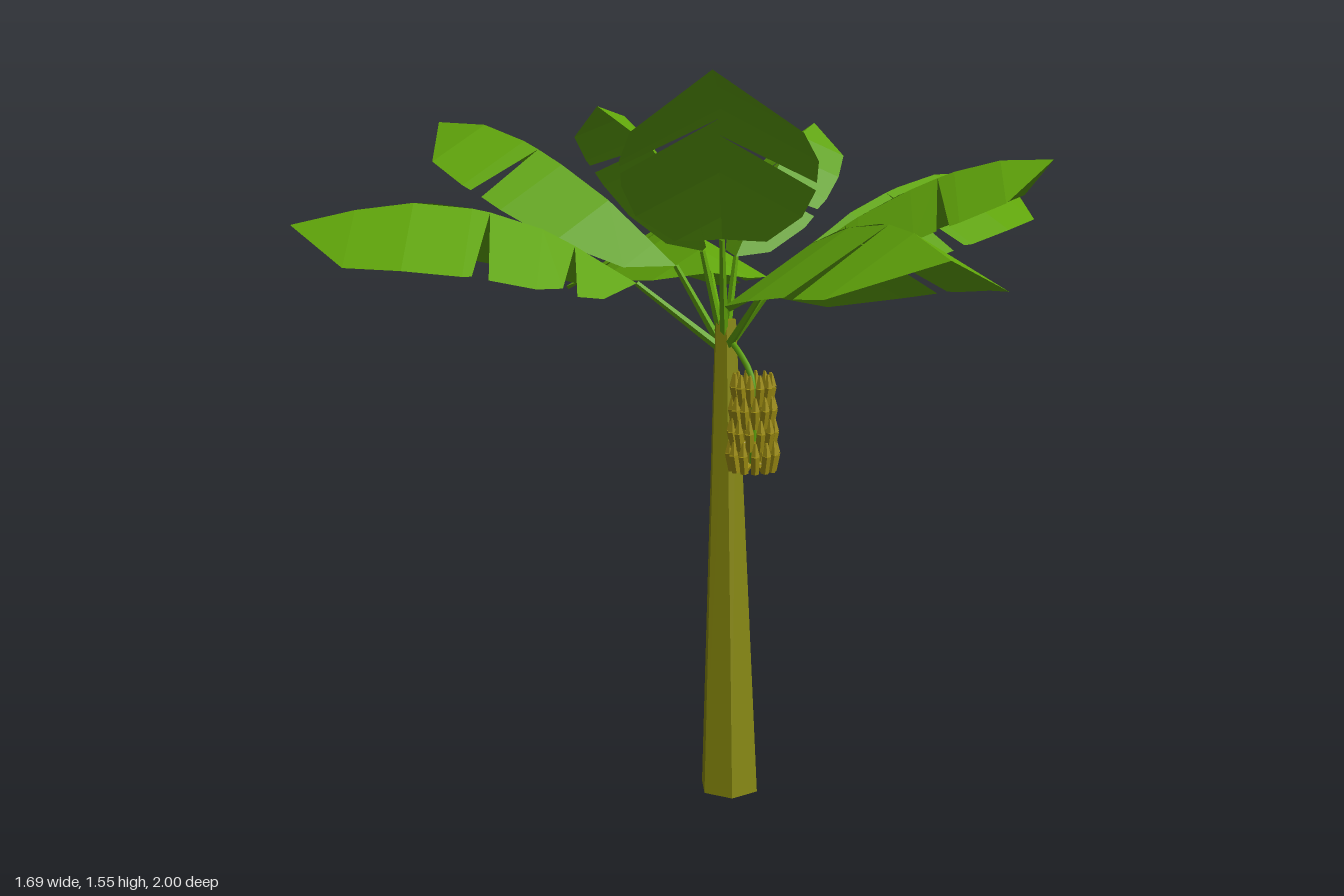
import * as THREE from 'three';

const V = (a) => new THREE.Vector3(...a);
const UP = new THREE.Vector3(0, 1, 0);

// Half-blade outline: [position along rib, share of full half width]
const OUTLINE = [[0, 0], [0.1, 0.5], [0.3, 0.88], [0.5, 1], [0.66, 1], [0.82, 0.85], [1, 0]];

// points along the rib, half width, torn slits on the right and on the left
const LEAVES = [
  [[[0.06, 1.1, -0.16], [0.03, 1.175, -0.3], [-0.02, 1.165, -0.68], [-0.08, 1.06, -1.0]], 0.23, [0.3, 0.67], [0.47]],
  [[[0.2, 1.11, -0.05], [0.4, 1.24, -0.21], [0.66, 1.31, -0.43], [0.84, 1.27, -0.57]], 0.205, [0.45], [0.32]],
  [[[-0.03, 1.13, -0.01], [-0.2, 1.29, -0.14], [-0.42, 1.42, -0.32], [-0.55, 1.43, -0.42]], 0.17, [0.5], [0.6]],
  [[[-0.12, 1.1, 0.06], [-0.35, 1.23, 0.07], [-0.6, 1.275, 0.07], [-0.85, 1.23, 0.07]], 0.21, [0.6], [0.2, 0.45]],
  [[[0.02, 1.17, 0.08], [-0.04, 1.31, 0.12], [-0.14, 1.45, 0.2], [-0.21, 1.48, 0.26]], 0.125, [0.6], [0.4]],
  [[[0.1, 1.15, 0.0], [0.17, 1.28, -0.09], [0.25, 1.39, -0.2], [0.31, 1.43, -0.29]], 0.112, [0.4], [0.6]],
  [[[0.2, 1.13, 0.07], [0.38, 1.26, 0.11], [0.6, 1.36, 0.2], [0.73, 1.37, 0.27]], 0.17, [0.25, 0.6], [0.46]],
  [[[0.13, 1.09, 0.22], [0.21, 1.22, 0.45], [0.31, 1.275, 0.78], [0.37, 1.23, 1.0]], 0.22, [0.7], [0.45]],
  [[[0.055, 1.2, 0.15], [0.035, 1.35, 0.3], [0.01, 1.5, 0.55], [-0.02, 1.555, 0.73]], 0.19, [0.6], [0.5]],
];

function widthAt(t) {
  const i = Math.max(1, OUTLINE.findIndex((p) => p[0] >= t));
  const [a, b] = [OUTLINE[i - 1], OUTLINE[i]];
  return THREE.MathUtils.lerp(a[1], b[1], (t - a[0]) / (b[0] - a[0]));
}

// Roof-shaped blade: each half is a strip from rib to drooping edge, open at the slits
function bladeGeometry(ribPoints, halfWidth, rightSlits, leftSlits) {
  const rib = new THREE.CatmullRomCurve3(ribPoints.map(V));
  const along = rib.getPoint(1).sub(rib.getPoint(0)).normalize();
  const side = along.clone().cross(UP).normalize();
  const normal = side.clone().cross(along);
  const pos = [];
  for (const [sign, slits] of [[1, rightSlits], [-1, leftSlits]]) {
    const stations = OUTLINE.map(([t, w]) => ({ rib: t, edge: t, w }))
      .filter((s) => !slits.some((t) => Math.abs(t - s.rib) < 0.04));
    for (const t of slits) {
      stations.push({ rib: t, edge: t - 0.02, w: widthAt(t) });
      stations.push({ rib: t, edge: t + 0.025, w: widthAt(t) });
    }
    stations.sort((a, b) => a.edge - b.edge);
    const ribPoint = (s) => rib.getPointAt(s.rib);
    const edgePoint = (s) => rib.getPointAt(s.edge)
      .addScaledVector(side, sign * s.w * halfWidth)
      .addScaledVector(normal, -0.6 * s.w * halfWidth);
    for (let i = 1; i < stations.length; i++) {
      const [a, b] = [stations[i - 1], stations[i]];
      if (a.rib === b.rib) continue;
      const [ra, rb, ea, eb] = [ribPoint(a), ribPoint(b), edgePoint(a), edgePoint(b)];
      const tris = [];
      if (a.w > 0) tris.push([ra, ea, rb]);
      if (b.w > 0) tris.push([rb, a.w > 0 ? ea : ra, eb]);
      for (const [p, q, r] of tris) {
        for (const v of sign > 0 ? [p, q, r] : [p, r, q]) pos.push(v.x, v.y, v.z);
      }
    }
  }
  const g = new THREE.BufferGeometry();
  g.setAttribute('position', new THREE.Float32BufferAttribute(pos, 3));
  g.computeVertexNormals();
  return g;
}

// Tapered rod between two points
function rod(from, to, r0, r1, sides, material, name) {
  const dir = to.clone().sub(from);
  const mesh = new THREE.Mesh(new THREE.CylinderGeometry(r1, r0, dir.length(), sides).toNonIndexed(), material);
  mesh.geometry.computeVertexNormals();
  mesh.position.copy(from).addScaledVector(dir, 0.5);
  mesh.quaternion.setFromUnitVectors(UP, dir.normalize());
  mesh.name = name;
  return mesh;
}

export function createModel() {
  const leafGreen = new THREE.MeshStandardMaterial({ color: 0x5fa30a });
  leafGreen.name = 'leafGreen';
  leafGreen.side = THREE.DoubleSide;
  const trunkOlive = new THREE.MeshStandardMaterial({ color: 0x83840a });
  trunkOlive.name = 'trunkOlive';
  const fruitYellow = new THREE.MeshStandardMaterial({ color: 0x9a8a12 });
  fruitYellow.name = 'fruitYellow';

  const model = new THREE.Group();
  model.name = 'bananaPlant';

  // Leaning six-sided trunk, its foot tipped up slightly at the back
  let trunkGeo = new THREE.CylinderGeometry(0.025, 0.066, 1.02, 6).translate(0, 0.51, 0);
  const p = trunkGeo.attributes.position;
  for (let i = 0; i < p.count; i++) {
    const [x, y, z] = [p.getX(i), p.getY(i), p.getZ(i)];
    const tip = y < 0.5 ? 0.008 - 0.12 * z : 0;
    p.setXYZ(i, x + 0.072, y + tip, z * 0.92 + 0.17 - 0.11 * y);
  }
  trunkGeo = trunkGeo.toNonIndexed();
  trunkGeo.computeVertexNormals();
  const trunk = new THREE.Mesh(trunkGeo, trunkOlive);
  trunk.name = 'trunk';
  model.add(trunk);

  // Leaves with their stalks
  const crown = V([0.07, 0.95, 0.06]);
  for (const spec of LEAVES) {
    const leaf = new THREE.Group();
    leaf.name = 'leaf';
    const blade = new THREE.Mesh(bladeGeometry(...spec), leafGreen);
    blade.name = 'blade';
    leaf.add(blade, rod(crown, V(spec[0][0]), 0.01, 0.006, 4, leafGreen, 'leafStalk'));
    model.add(leaf);
  }

  // Hanging fruit bunch: stalk and four rings of upturned fingers
  const bunch = new THREE.Group();
  bunch.name = 'fruitBunch';
  const arch = new THREE.CatmullRomCurve3([
    V([0.07, 0.99, 0.06]), V([0.1, 0.95, 0.12]), V([0.12, 0.9, 0.16]), V([0.12, 0.72, 0.165])]);
  const stalk = new THREE.Mesh(new THREE.TubeGeometry(arch, 12, 0.007, 5), leafGreen);
  stalk.name = 'bunchStalk';
  bunch.add(stalk);
  for (let row = 0; row < 4; row++) {
    const y = 0.708 + row * 0.048;
    const r = 0.046 - 0.003 * row;
    for (let i = 0; i < 12; i++) {
      const a = ((i + (row % 2) / 2) / 12) * Math.PI * 2;
      const at = (rad, h) => V([0.12 + rad * Math.cos(a), h, 0.165 + rad * Math.sin(a)]);
      bunch.add(rod(at(0.006, y + 0.012), at(r, y + 0.006), 0.004, 0.008, 4, fruitYellow, 'fruitNeck'));
      bunch.add(rod(at(r - 0.003, y), at(r + 0.004, y + 0.038), 0.009, 0.01, 5, fruitYellow, 'fruit'));
      bunch.add(rod(at(r + 0.004, y + 0.038), at(r + 0.003, y + 0.066), 0.01, 0.003, 5, fruitYellow, 'fruitTip'));
    }
  }
  model.add(bunch);
  return model;
}
